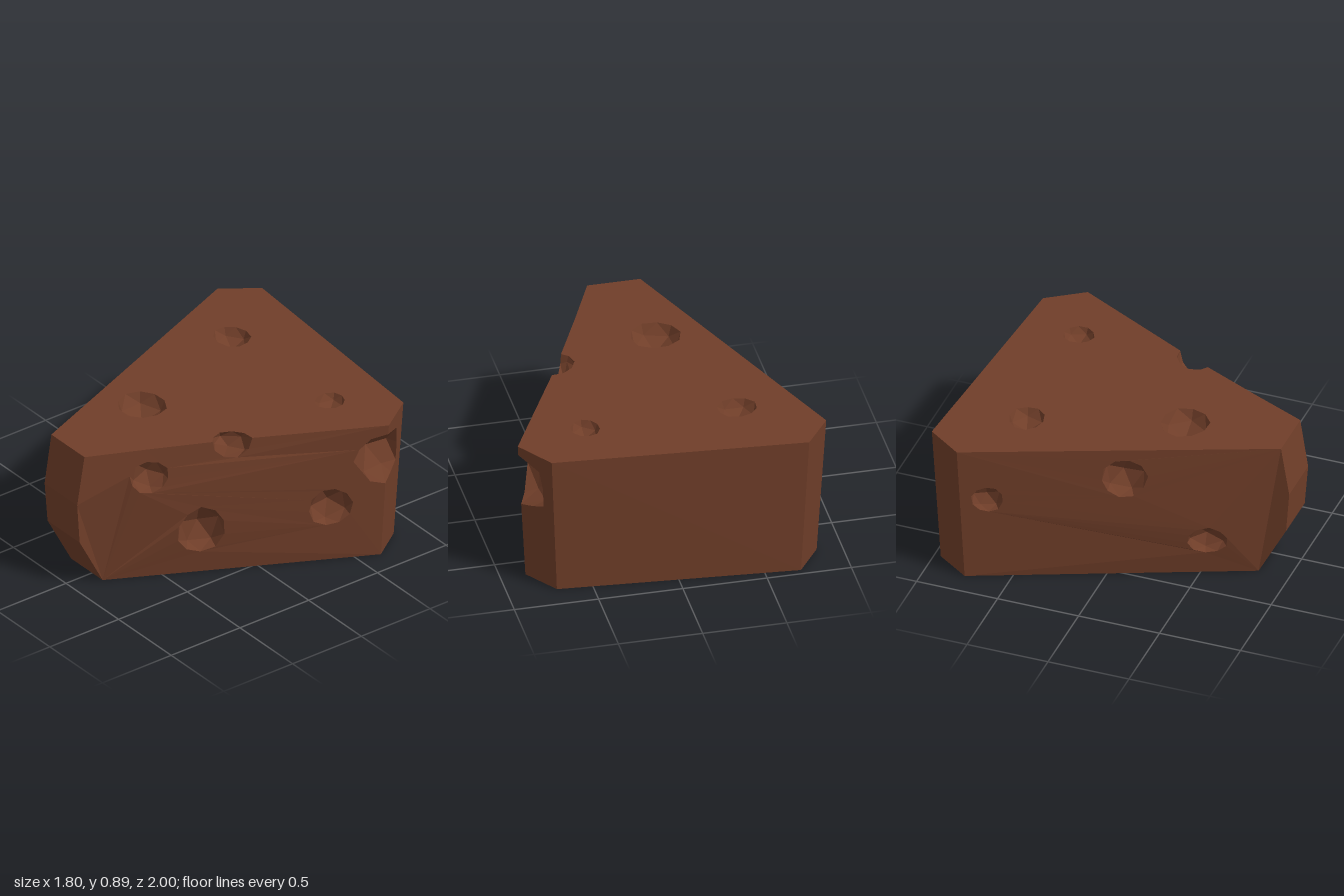
import * as THREE from 'three';

const V = (x, y, z) => new THREE.Vector3(x, y, z);
const H = 0.89;

// Corners of the wedge: top (y = H) and bottom (y = 0)
const T = { noseL: V(0.11, H, 0.95), sideL: V(0.9, H, -0.66), backL: V(0.75, H, -0.88),
  backR: V(-0.75, H, -1), sideR: V(-0.9, H, -0.79), noseR: V(-0.205, H, 0.95) };
const B = { noseL: V(0.1, 0, 0.81), sideL: V(0.85, 0, -0.64), backL: V(0.71, 0, -0.84),
  backR: V(-0.71, 0, -0.96), sideR: V(-0.85, 0, -0.76), noseR: V(-0.2, 0, 0.81) };

// Rounded nose edge, bottom to top
const nose = [[0, 0.81], [0.32, 0.98], [0.58, 1], [H, 0.95]];
const noseEdge = (k) => nose.map(([y, z]) => V(B[k].x + (T[k].x - B[k].x) * y / H, y, z));
const noseZ = (y) => {
  const i = Math.max(1, nose.findIndex((p) => p[0] >= y));
  const [y0, z0] = nose[i - 1], [y1, z1] = nose[i];
  return z0 + (z1 - z0) * (y - y0) / (y1 - y0);
};
const edge = (k, y) => B[k].clone().lerp(T[k], y / H);

// Points on the surfaces: sides by (z, y), top by (x, z)
const onSide = (back, front, sag) => ([z, y]) => {
  const a = edge(back, y);
  const t = (z - a.z) / (noseZ(y) - a.z);
  const x = a.x + (edge(front, y).x - a.x) * t - sag * Math.sin(Math.PI * t) * y / H;
  return V(x, y, z);
};
const onLeft = onSide('sideL', 'noseL', 0.022);
const onRight = onSide('sideR', 'noseR', 0);
const onTop = ([x, z]) => V(x, H, z);
const onChamfer = ([z, y]) => {
  const a = edge('sideL', y), b = edge('backL', y);
  return a.clone().lerp(b, (z - a.z) / (b.z - a.z));
};

// Irregular ten-sided rim of a hole
function rim(map, [u, v, a, b, phase]) {
  return Array.from({ length: 10 }, (_, i) => {
    const t = phase + i * Math.PI / 5;
    const r = 1 - 0.08 * Math.abs(Math.sin(i * 2.3 + phase));
    return map([u + a * r * Math.cos(t), v + b * r * Math.sin(t)]);
  });
}

// Flat-shaded geometry from a list of triangles
function facets(tris) {
  const g = new THREE.BufferGeometry().setFromPoints(tris.flat());
  g.computeVertexNormals();
  return g;
}

// Panel with holes, triangulated on two axes and turned to face n
function panel(outline, holes, u, v, n) {
  const flat = (l) => l.map((p) => new THREE.Vector2(p[u], p[v]));
  const pts = [outline, ...holes].flat();
  const tris = THREE.ShapeUtils.triangulateShape(flat(outline), holes.map(flat)).map((f) => {
    const [a, b, c] = f.map((i) => pts[i]);
    const up = b.clone().sub(a).cross(c.clone().sub(a)).dot(n) > 0;
    return up ? [a, b, c] : [a, c, b];
  });
  return facets(tris);
}

// Faceted bowl sunk below a rim: five-sided ring and a deepest point
function bowl(loop, n) {
  const c = loop.reduce((s, p) => s.add(p), V(0, 0, 0)).divideScalar(loop.length);
  const turn = V(0, 0, 0);
  loop.forEach((p, i) => turn.add(p.clone().sub(c).cross(loop[(i + 1) % 10].clone().sub(c))));
  const r = turn.dot(n) > 0 ? loop : [...loop].reverse();
  const size = r.reduce((s, p) => s + p.distanceTo(c), 0) / 10;
  const sink = (p, d) => p.addScaledVector(n, -d * size);
  const ring = [0, 2, 4, 6, 8].map((i) => sink(c.clone().lerp(r[i], 0.84), 0.45));
  const pole = sink(c.clone(), 0.85);
  const tris = [];
  for (let i = 0; i < 5; i++) {
    const a = ring[i], b = ring[(i + 1) % 5], k = 2 * i;
    tris.push([r[(k + 9) % 10], r[k], a], [r[k], r[k + 1], a], [r[k + 1], b, a], [a, b, pole]);
  }
  return facets(tris);
}

export function createModel() {
  const group = new THREE.Group();
  const brown = new THREE.MeshStandardMaterial({ name: 'brown', color: 0x703e29 });
  const add = (name, geometry) => {
    const mesh = new THREE.Mesh(geometry, brown);
    mesh.name = name;
    group.add(mesh);
  };
  const nTop = V(0, 1, 0), nLeft = V(0.9, 0, 0.44), nRight = V(-0.92, 0, 0.38);
  const nCorner = V(0.8, 0, -0.6);

  // Whole holes: centre, two radii, phase
  const topHoles = [[-0.43, -0.535, 0.122, 0.11, 0.3], [0.475, -0.555, 0.09, 0.096, 0.9],
    [-0.15, 0.335, 0.155, 0.15, 0.6]].map((h) => rim(onTop, h));
  const leftHoles = [[0.605, 0.705, 0.11, 0.112, 0.2], [0.32, 0.3, 0.135, 0.165, 0.9],
    [-0.365, 0.365, 0.122, 0.133, 0.5]].map((h) => rim(onLeft, h));
  const rightHoles = [[-0.63, 0.55, 0.09, 0.092, 0.4], [0.11, 0.695, 0.13, 0.138, 0.1],
    [0.55, 0.245, 0.115, 0.1, 0.8]].map((h) => rim(onRight, h));

  // Hole biting the left corner edge
  const cornerTop = edge('sideL', 0.83), cornerLow = edge('sideL', 0.49);
  const cornerSide = [[-0.57, 0.805], [-0.51, 0.74], [-0.48, 0.66], [-0.57, 0.515]].map(onLeft);
  const cornerBack = [[-0.73, 0.515], [-0.8, 0.55], [-0.805, 0.67], [-0.79, 0.78]].map(onChamfer);
  // Hole biting the upper left edge
  const biteBack = onLeft([0.05, H]), biteFront = onLeft([0.26, H]);
  const biteSide = [[0.25, 0.83], [0.2, 0.78], [0.13, 0.77], [0.07, 0.82]].map(onLeft);
  const biteTop = [[0.46, 0.055], [0.4, 0.1], [0.37, 0.165], [0.39, 0.23]].map(onTop);
  const ridge = onLeft([0.62, H]);

  // Top and bottom
  add('top', panel([T.noseR, T.noseL, ridge, biteFront, ...[...biteTop].reverse(), biteBack,
    T.sideL, T.backL, T.backR, T.sideR], topHoles, 'x', 'z', nTop));
  add('bottom', panel(Object.values(B), [], 'x', 'z', V(0, -1, 0)));

  // Long sides
  add('leftSide', panel([...noseEdge('noseL'), ridge, biteFront, ...biteSide, biteBack,
    T.sideL, cornerTop, ...cornerSide, cornerLow, B.sideL], leftHoles, 'z', 'y', nLeft));
  add('rightSide', panel([...noseEdge('noseR'), T.sideR, B.sideR], rightHoles, 'z', 'y', nRight));

  // Back and its cut corners
  add('back', panel([B.backR, B.backL, T.backL, T.backR], [], 'x', 'y', V(0, 0, -1)));
  add('leftBackCorner', panel([T.sideL, cornerTop, ...[...cornerBack].reverse(), cornerLow,
    B.sideL, B.backL, T.backL], [], 'z', 'y', nCorner));
  add('rightBackCorner', panel([B.sideR, B.backR, T.backR, T.sideR], [], 'z', 'y', V(-0.8, 0, -0.6)));

  // Blunt nose
  const nl = noseEdge('noseL'), nr = noseEdge('noseR');
  for (let i = 0; i < 3; i++) {
    add('nose', panel([nr[i], nl[i], nl[i + 1], nr[i + 1]], [], 'x', 'y', V(0, 0, 1)));
  }

  // Bowls inside the holes
  topHoles.forEach((h) => add('topHole', bowl(h, nTop)));
  leftHoles.forEach((h) => add('leftHole', bowl(h, nLeft)));
  rightHoles.forEach((h) => add('rightHole', bowl(h, nRight)));
  add('cornerHole', bowl([cornerTop, ...cornerSide, cornerLow, ...cornerBack], V(1, 0, 0)));
  add('edgeHole', bowl([biteFront, ...biteSide, biteBack, ...biteTop], V(0.66, 0.68, 0.32)));
  return group;
}
